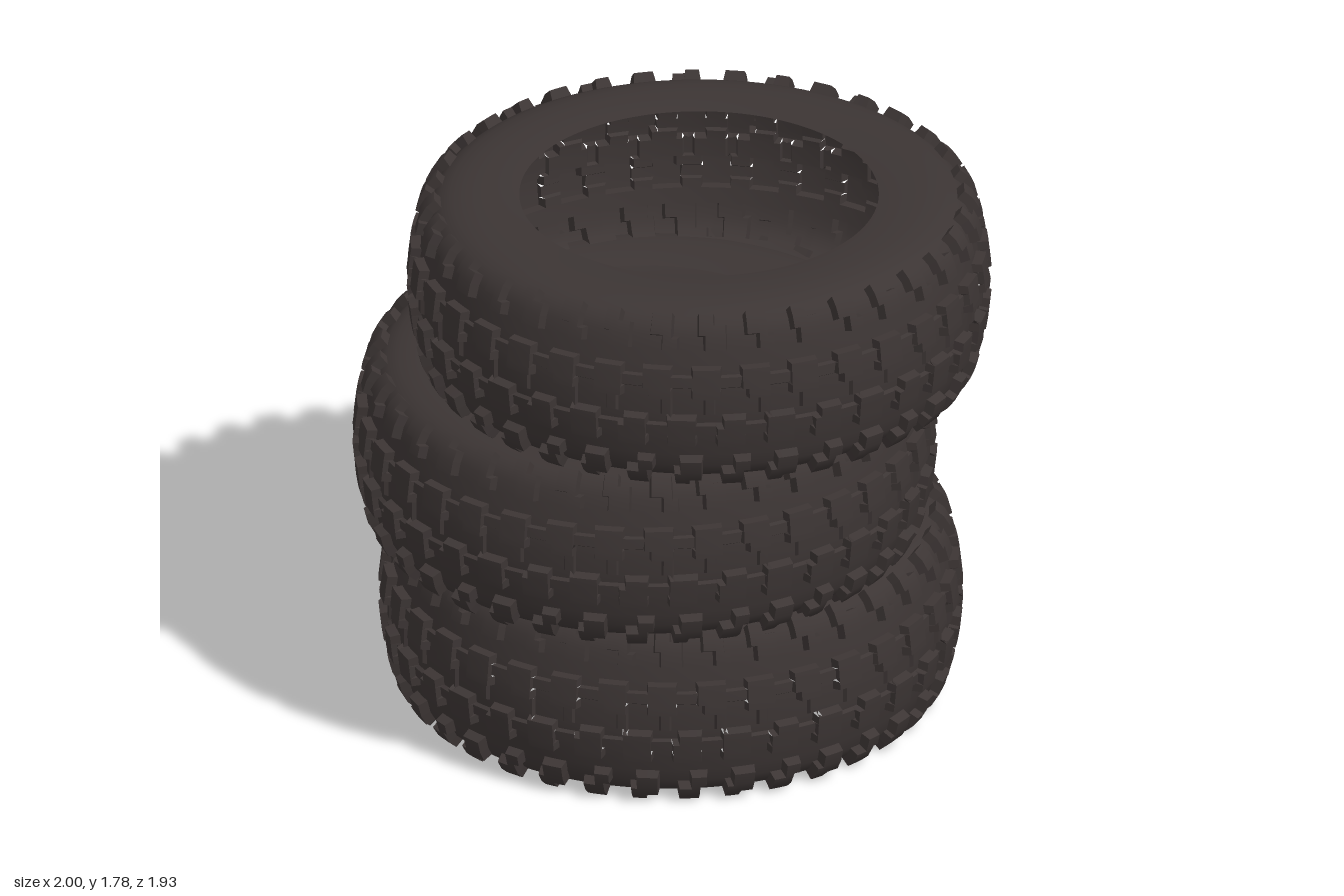
import * as THREE from 'three';

// Half cross-section of a tyre shell [radius, height], from the top bead to the middle of the tread
const HALF = [
  [0.565, 0.293], [0.61, 0.3], [0.68, 0.303], [0.735, 0.301], [0.78, 0.292],
  [0.812, 0.278], [0.836, 0.258], [0.853, 0.228], [0.864, 0.185],
  [0.874, 0.135], [0.879, 0.105], [0.884, 0.06], [0.887, 0.03],
];
const PROFILE = [...HALF, ...HALF.map(([r, y]) => [r, -y]).reverse()];
const ROWS = PROFILE.length - 1;
const MID = (ROWS - 1) / 2;

// One repeat of the tread by profile row: 0 groove, 1 tie bar, 2 block
const TREAD = {
  5: '0222000002222000',
  6: '0222220002222000',
  7: '0022220000022200',
  9: '2222200022222000',
  10: '2222211122222111',
  11: '2222200002222000',
  12: '0011000000011000',
};
const REPEATS = 18;
const COLS = REPEATS * 16;
const HEIGHTS = [0, 0.012, 0.032];
const BEVEL = 0.006;

// Tread level of a cell; the lower half mirrors the upper one, shifted round
function level(i, j) {
  if (i < 0 || i >= ROWS) return 0;
  const lower = i > MID;
  const row = TREAD[lower ? ROWS - 1 - i : i];
  return row ? Number(row[(j + (lower ? 4 : 0) + COLS) % 16]) : 0;
}

// Tangent and outward normal of the profile at each point
const FRAMES = PROFILE.map((p, i) => {
  const a = PROFILE[Math.max(i - 1, 0)];
  const b = PROFILE[Math.min(i + 1, ROWS)];
  const t = new THREE.Vector2(b[0] - a[0], b[1] - a[1]).normalize();
  return { t, n: new THREE.Vector2(-t.y, t.x) };
});

// Grid point raised to a level, pulled in towards the block so its walls slope
function point(i, j, lev) {
  let di = 0, dj = 0;
  if (lev > 0) {
    for (const a of [-1, 1]) {
      for (const b of [-1, 1]) {
        if (level(a < 0 ? i - 1 : i, b < 0 ? j - 1 : j) >= lev) { di += a; dj += b; }
      }
    }
  }
  const { t, n } = FRAMES[i];
  const slide = Math.sign(di) * BEVEL;
  const r = PROFILE[i][0] + n.x * HEIGHTS[lev] + t.x * slide;
  const y = PROFILE[i][1] + n.y * HEIGHTS[lev] + t.y * slide;
  const ang = (j / COLS) * Math.PI * 2 + (Math.sign(dj) * BEVEL) / r;
  return new THREE.Vector3(r * Math.sin(ang), y, r * Math.cos(ang));
}

function normalAt(i, j) {
  const ang = (j / COLS) * Math.PI * 2;
  const { n } = FRAMES[i];
  return new THREE.Vector3(n.x * Math.sin(ang), n.y, n.x * Math.cos(ang));
}

// Tyre shell: grooves and block tops follow the profile, steps between levels get walls
function tyreGeometry() {
  const pos = [], nor = [];
  const quad = (p, normals) => {
    const flat = new THREE.Vector3().crossVectors(
      p[2].clone().sub(p[0]), p[3].clone().sub(p[1])).normalize();
    for (const k of [0, 1, 2, 0, 2, 3]) {
      pos.push(...p[k].toArray());
      nor.push(...(normals ? normals[k] : flat).toArray());
    }
  };
  const wall = (i0, j0, i1, j1, lo, hi, flip) => {
    const p = [point(i0, j0, lo), point(i1, j1, lo), point(i1, j1, hi), point(i0, j0, hi)];
    quad(flip ? p.reverse() : p);
  };
  for (let i = 0; i < ROWS; i++) {
    for (let j = 0; j < COLS; j++) {
      const h = level(i, j);
      const corners = [[i, j], [i + 1, j], [i + 1, j + 1], [i, j + 1]];
      quad(corners.map(([a, b]) => point(a, b, h)), corners.map(([a, b]) => normalAt(a, b)));
      const left = level(i, j - 1);
      if (left !== h) wall(i, j, i + 1, j, Math.min(left, h), Math.max(left, h), left > h);
      const above = level(i - 1, j);
      if (above !== h) wall(i, j, i, j + 1, Math.min(above, h), Math.max(above, h), above < h);
    }
  }
  const g = new THREE.BufferGeometry();
  g.setAttribute('position', new THREE.Float32BufferAttribute(pos, 3));
  g.setAttribute('normal', new THREE.Float32BufferAttribute(nor, 3));
  return g;
}

export function createModel() {
  const group = new THREE.Group();
  group.name = 'tyreStack';
  const rubber = new THREE.MeshStandardMaterial({ color: 0x3c3534, side: THREE.DoubleSide });
  rubber.name = 'darkRubber';
  const geometry = tyreGeometry();

  // Three loosely stacked tyres: position, slight lean and turn
  const tyres = [
    { name: 'bottomTyre', at: [-0.055, 0.309, -0.045], lean: [0.006, -0.002], turn: 0 },
    { name: 'middleTyre', at: [-0.08, 0.885, 0.045], lean: [0, -0.006], turn: 1.3 },
    { name: 'topTyre', at: [0.08, 1.472, -0.035], lean: [-0.01, 0.01], turn: 2.5 },
  ];
  for (const { name, at, lean, turn } of tyres) {
    const tyre = new THREE.Mesh(geometry, rubber);
    tyre.name = name;
    tyre.position.set(...at);
    tyre.rotation.set(lean[0], turn, lean[1], 'XZY');
    group.add(tyre);
  }
  return group;
}
